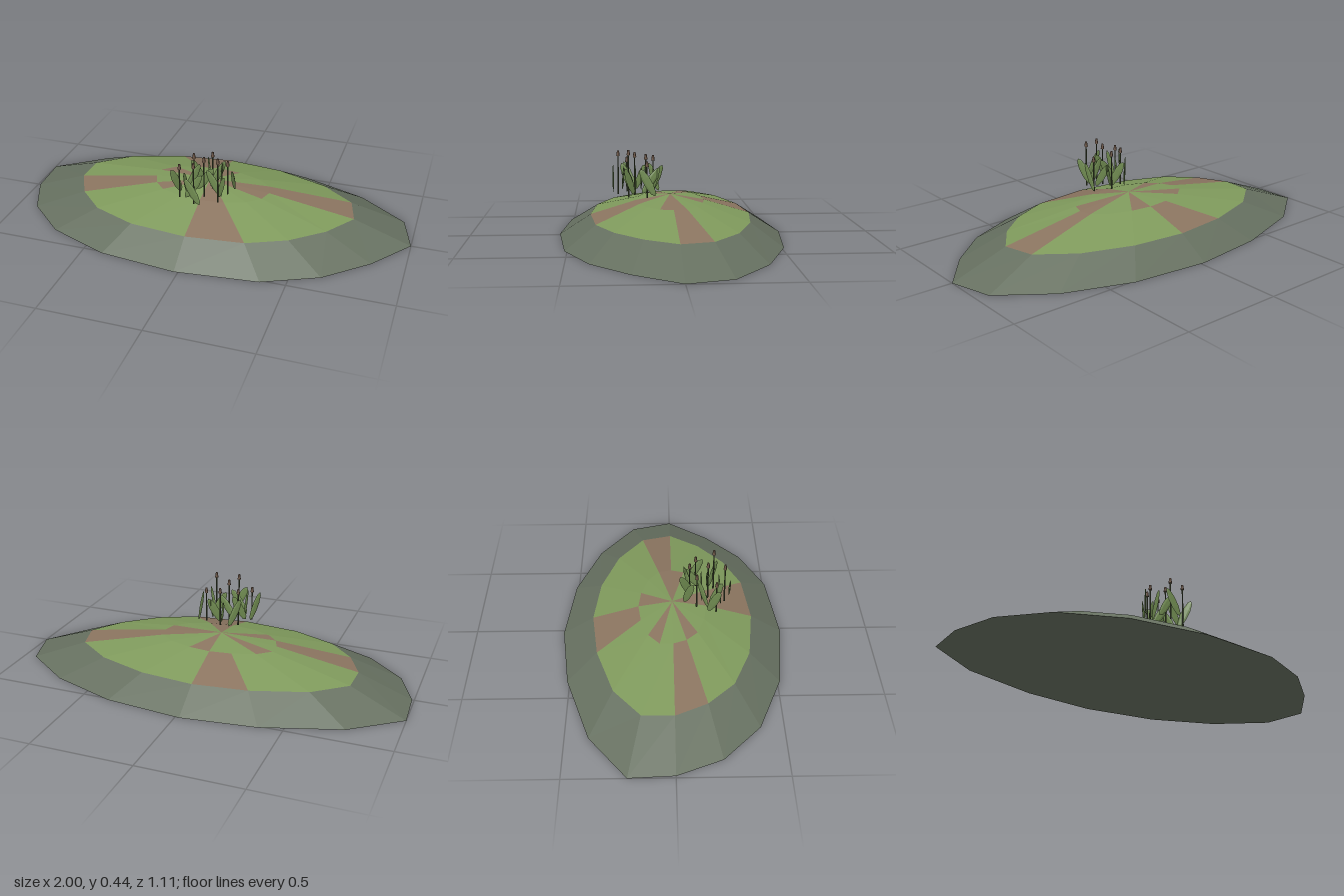
import * as THREE from 'three';

const mat = (name, color, extra = {}) => {
  const m = new THREE.MeshStandardMaterial({ color, ...extra });
  m.name = name;
  return m;
};

// One ring of 16 points: x is irregular, z follows a sine
const ring = (y, depth, xs) =>
  xs.map((x, k) => [x, y, depth * Math.sin((k * Math.PI) / 8)]);

const faces = (name, tris, material) => {
  const g = new THREE.BufferGeometry();
  g.setAttribute('position', new THREE.Float32BufferAttribute(tris.flat(2), 3));
  g.computeVertexNormals();
  const mesh = new THREE.Mesh(g, material);
  mesh.name = name;
  return mesh;
};

export function createModel() {
  const model = new THREE.Group();
  model.name = 'reedIsland';
  const grass = mat('grass green', 0x7f9a5c, { flatShading: true });
  const earth = mat('bare earth', 0x8b7560, { flatShading: true });
  const stone = mat('shore grey green', 0x667060, { flatShading: true });
  const leafMat = mat('leaf green', 0x6f8a50, { flatShading: true });
  const stemMat = mat('stem dark green', 0x4a5438);
  const headMat = mat('seed head brown', 0x6b5546);

  // Mound: three rings and a peak
  const base = ring(0, 0.555, [1, 0.84, 0.64, 0.38, -0.02, -0.4, -0.705, -0.9,
    -0.99, -1, -0.76, -0.385, -0.02, 0.365, 0.695, 0.94]);
  const mid = ring(0.1, 0.4, [0.715, 0.61, 0.455, 0.265, -0.02, -0.305, -0.52, -0.65,
    -0.725, -0.72, -0.56, -0.29, -0.02, 0.25, 0.5, 0.675]);
  const top = ring(0.17, 0.17, [0.285, 0.265, 0.2, 0.1, -0.02, -0.13, -0.23, -0.285,
    -0.31, -0.31, -0.245, -0.13, -0.02, 0.09, 0.2, 0.27]);
  const peak = [-0.02, 0.2, 0];
  const earthOuter = [3, 7, 11, 15], earthInner = [0, 3, 6, 9, 12, 15];
  const shoreTris = [], bottomTris = [], grassTris = [], earthTris = [];
  for (let k = 0; k < 16; k++) {
    const n = (k + 1) % 16;
    const band = (lo, hi) => [[lo[k], hi[k], lo[n]], [lo[n], hi[k], hi[n]]];
    shoreTris.push(...band(base, mid));
    bottomTris.push([[0, 0, 0], base[k], base[n]]);
    (earthOuter.includes(k) ? earthTris : grassTris).push(...band(mid, top));
    (earthInner.includes(k) ? earthTris : grassTris).push([peak, top[n], top[k]]);
  }
  model.add(
    faces('shore', shoreTris, stone),
    faces('underside', bottomTris, stone),
    faces('grassTop', grassTris, grass),
    faces('earthPatches', earthTris, earth),
  );

  // Reeds: x, z, height of the tip
  const stemGeo = new THREE.CylinderGeometry(0.003, 0.004, 1, 6);
  const headGeo = new THREE.CylinderGeometry(0.005, 0.009, 0.026, 6);
  const reeds = [[-0.02, 0.26, 0.42], [-0.107, 0.215, 0.378], [0.085, 0.21, 0.435],
    [0.005, 0.178, 0.415], [0.107, 0.12, 0.38], [0.02, 0.087, 0.4], [-0.065, 0.12, 0.395]];
  for (const [x, z, tip] of reeds) {
    const reed = new THREE.Group();
    reed.name = 'reed';
    reed.position.set(x, 0.2, z);
    const h = tip - 0.2;
    const stem = new THREE.Mesh(stemGeo, stemMat);
    stem.name = 'stem';
    stem.scale.y = h - 0.02;
    stem.position.y = (h - 0.02) / 2;
    const head = new THREE.Mesh(headGeo, headMat);
    head.name = 'seedHead';
    head.position.y = h - 0.013;
    reed.add(stem, head);
    model.add(reed);
  }

  // Leaves: thin upright blades given by x, z, direction in plan and lean
  const leafGeo = new THREE.SphereGeometry(1, 6, 5).scale(0.021, 0.076, 0.004);
  const leaves = [
    [-0.128, 0.203, 0.5, -0.87, 0.45], [-0.075, 0.214, 0, 1, -0.4],
    [-0.06, 0.08, 0.7, -0.7, 0.45], [0, 0.07, 0.5, 0.85, 0.5],
    [0.045, 0.08, 0.8, -0.55, -0.5], [0.07, 0.1, 0.2, 0.98, 0.6],
    [0.135, 0.118, 0, 1, -0.5], [-0.02, 0.285, 1, 0, 0.5],
    [-0.03, 0.235, 1, -0.1, -0.55], [0.055, 0.175, 1, 0, 0.5],
    [0.1, 0.205, 0.7, 0.7, -0.45], [-0.06, 0.15, 0.7, -0.6, -0.5],
    [0, 0.145, 1, 0, -0.6],
  ];
  for (const [x, z, dx, dz, lean] of leaves) {
    const leaf = new THREE.Mesh(leafGeo, leafMat);
    leaf.name = 'leaf';
    leaf.position.set(x, 0.28, z);
    leaf.rotation.set(0, Math.atan2(-dz, dx), lean, 'YXZ');
    model.add(leaf);
  }
  return model;
}
